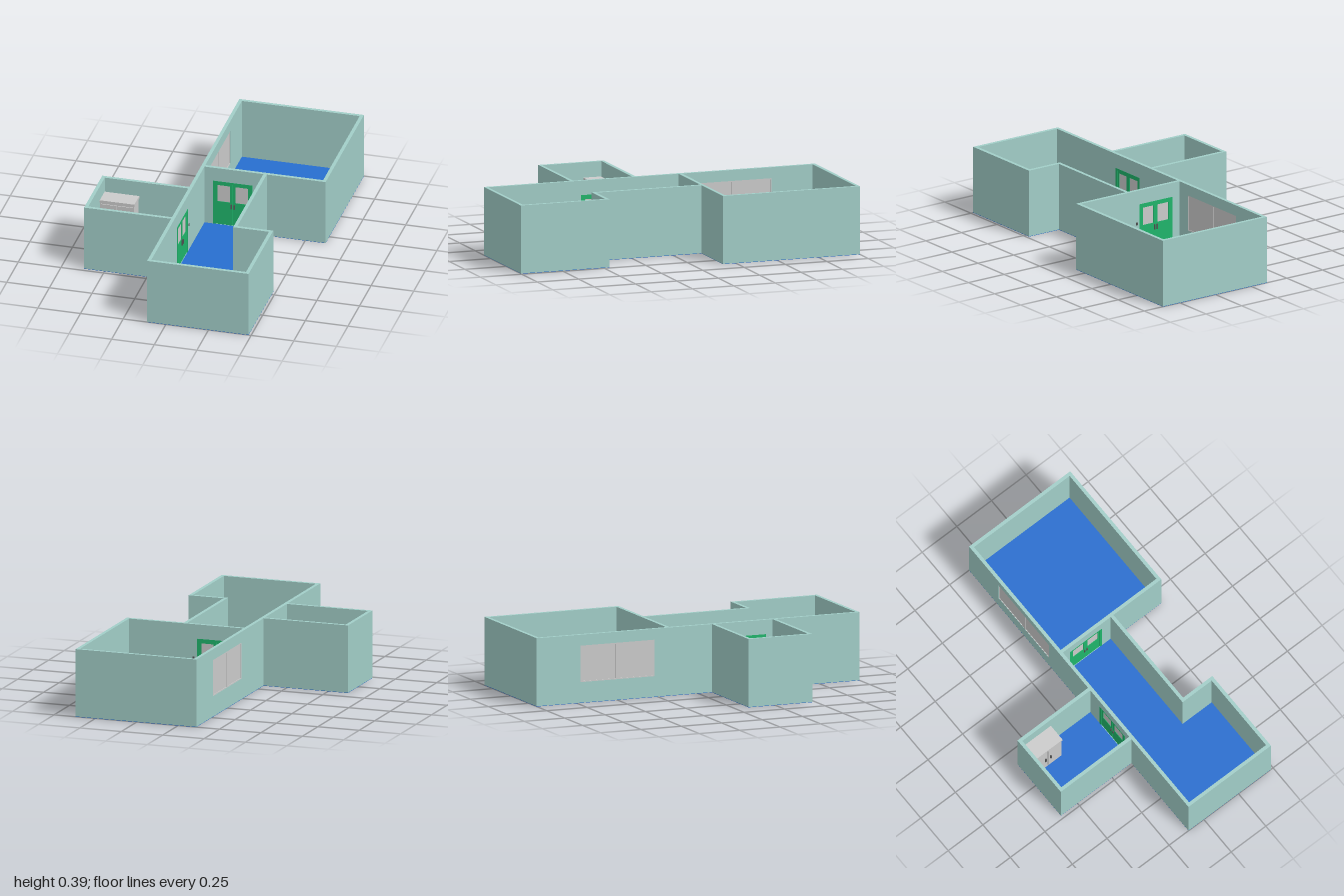
import * as THREE from 'three';

const H = 0.393, T = 0.02, FLOOR = 0.035, BASE = 0.002;
const mat = (color) => new THREE.MeshStandardMaterial({ color });
const wallMat = mat(0xa2cec8), blue = mat(0x276ecf), green = mat(0x1fb56b), grey = mat(0xcccccc);
const dark = mat(0x555555);

// Box given by its lower and upper corners
function box(parent, name, material, [x0, y0, z0], [x1, y1, z1]) {
  const mesh = new THREE.Mesh(new THREE.BoxGeometry(x1 - x0, y1 - y0, z1 - z0), material);
  mesh.position.set((x0 + x1) / 2, (y0 + y1) / 2, (z0 + z1) / 2);
  mesh.name = name;
  parent.add(mesh);
  return mesh;
}

function rectPoints(u0, y0, u1, y1) {
  return [[u0, y0], [u1, y0], [u1, y1], [u0, y1]].map(([x, y]) => new THREE.Vector2(x, y));
}

// Upright wall along local x with rectangular openings cut through it
function openWall(name, u0, u1, openings) {
  const wall = new THREE.Group();
  wall.name = name;
  const shape = new THREE.Shape(rectPoints(u0, BASE, u1, H));
  for (const o of openings) shape.holes.push(new THREE.Path(rectPoints(...o)));
  const geo = new THREE.ExtrudeGeometry(shape, { depth: T, bevelEnabled: false });
  geo.translate(0, 0, -T / 2);
  const mesh = new THREE.Mesh(geo, wallMat);
  mesh.name = name + 'Panel';
  wall.add(mesh);
  return wall;
}

// Double door with glazed upper halves, filling an opening of a wall
function doubleDoor([u0, y0, u1, y1], switchSide) {
  const door = new THREE.Group();
  door.name = 'doubleDoor';
  const j = 0.012, mid = (u0 + u1) / 2, d = T / 2 + 0.001;
  box(door, 'doorJamb', green, [u0, y0, -d], [u0 + j, y1, d]);
  box(door, 'doorJamb', green, [u1 - j, y0, -d], [u1, y1, d]);
  box(door, 'doorHead', green, [u0 + j, y1 - j, -d], [u1 - j, y1, d]);
  for (const [a, b] of [[u0 + j, mid - 0.001], [mid + 0.001, u1 - j]]) {
    const s = 0.014, paneY = y0 + 0.145, t = 0.007;
    box(door, 'doorLowerPanel', green, [a, y0, -t], [b, paneY, t]);
    box(door, 'doorStile', green, [a, paneY, -t], [a + s, y1 - j, t]);
    box(door, 'doorStile', green, [b - s, paneY, -t], [b, y1 - j, t]);
    box(door, 'doorTopRail', green, [a + s, y1 - j - s, -t], [b - s, y1 - j, t]);
    box(door, 'doorGlass', grey, [a + s, paneY, -0.004], [b - s, y1 - j - s, 0.004]);
  }
  for (const side of [-1, 1]) {
    for (const u of [mid - 0.009, mid + 0.009]) {
      const z = [side * 0.007, side * 0.014].sort((a, b) => a - b);
      box(door, 'doorHandle', dark, [u - 0.003, y0 + 0.105, z[0]], [u + 0.003, y0 + 0.135, z[1]]);
    }
  }
  const su = switchSide > 0 ? u1 + 0.02 : u0 - 0.02;
  box(door, 'wallSwitch', dark, [su - 0.005, 0.19, -0.014], [su + 0.005, 0.205, -0.01]);
  return door;
}

// Pair of panes with a thin frame and a mullion
function windowPair([u0, y0, u1, y1]) {
  const win = new THREE.Group();
  win.name = 'window';
  const f = 0.006, mid = (u0 + u1) / 2, d = 0.009;
  for (const [a, b] of [[u0, u0 + f], [mid - 0.012, mid + 0.012], [u1 - f, u1]])
    box(win, 'windowUpright', grey, [a, y0, -d], [b, y1, d]);
  for (const [a, b] of [[y0, y0 + f], [y1 - f, y1]])
    box(win, 'windowRail', grey, [u0, a, -d], [u1, b, d]);
  for (const [a, b] of [[u0 + f, mid - 0.012], [mid + 0.012, u1 - f]])
    box(win, 'windowPane', grey, [a, y0 + f, -0.006], [b, y1 - f, 0.006]);
  return win;
}

// Flat-lying slab from a plan outline in x, z
function slab(name, outline, y0, y1) {
  const shape = new THREE.Shape(outline.map(([x, z]) => new THREE.Vector2(x, -z)));
  const geo = new THREE.ExtrudeGeometry(shape, { depth: y1 - y0, bevelEnabled: false });
  geo.rotateX(-Math.PI / 2).translate(0, y0, 0);
  const mesh = new THREE.Mesh(geo, blue);
  mesh.name = name;
  return mesh;
}

function cabinet() {
  const g = new THREE.Group();
  g.name = 'cabinet';
  box(g, 'cabinetBody', grey, [-0.6, FLOOR, 0.11], [-0.4, 0.29, 0.207]);
  box(g, 'cabinetTop', grey, [-0.603, 0.29, 0.108], [-0.397, 0.305, 0.215]);
  for (const s of [-1, 1]) {
    const xs = [-0.5 + s * 0.002, -0.5 + s * 0.094].sort((a, b) => a - b);
    box(g, 'cabinetDoor', grey, [xs[0], 0.05, 0.207], [xs[1], 0.28, 0.212]);
    const hx = -0.5 + s * 0.018;
    box(g, 'cabinetHandle', dark, [hx - 0.004, 0.15, 0.212], [hx + 0.004, 0.19, 0.219]);
  }
  return g;
}

export function createModel() {
  const model = new THREE.Group();
  model.name = 'floorPlan';

  // Base under the whole plan, and the raised floors inside the walls
  model.add(slab('base', [
    [-0.11, -1], [0.62, -1], [0.62, -0.17], [0.275, -0.17], [0.275, 0.465], [0.485, 0.465], [0.485, 1],
    [-0.11, 1], [-0.11, 0.48], [-0.62, 0.48], [-0.62, 0.085], [-0.11, 0.085],
  ], 0, BASE));
  model.add(slab('largeRoomFloor', [[-0.09, -0.98], [0.6, -0.98], [0.6, -0.19], [-0.09, -0.19]], BASE, FLOOR));
  model.add(slab('sideRoomFloor', [[-0.6, 0.105], [-0.11, 0.105], [-0.11, 0.46], [-0.6, 0.46]], BASE, FLOOR));
  model.add(slab('hallFloor', [
    [-0.09, -0.17], [0.255, -0.17], [0.255, 0.485], [0.465, 0.485], [0.465, 0.98], [-0.09, 0.98],
  ], BASE, FLOOR));

  // Plain walls: name, x from/to, z from/to
  const plain = [
    ['largeRoomBackWall', -0.09, 0.62, -1, -0.98],
    ['largeRoomLeftWall', 0.6, 0.62, -0.98, -0.19],
    ['hallLeftWall', 0.255, 0.275, -0.17, 0.485],
    ['frontRoomBackWall', 0.275, 0.485, 0.465, 0.485],
    ['frontRoomLeftWall', 0.465, 0.485, 0.485, 0.98],
    ['frontWall', -0.09, 0.485, 0.98, 1],
    ['sideRoomBackWall', -0.62, -0.11, 0.085, 0.105],
    ['sideRoomFrontWall', -0.62, -0.11, 0.46, 0.48],
    ['sideRoomRightWall', -0.62, -0.6, 0.105, 0.46],
  ];
  for (const [name, x0, x1, z0, z1] of plain) box(model, name, wallMat, [x0, BASE, z0], [x1, H, z1]);

  // Long right wall with a window pair and a door to the side room
  const sideDoor = [0.19, FLOOR, 0.42, 0.31], win = [-0.73, 0.12, -0.27, 0.33];
  const longWall = openWall('longRightWall', -1, 1, [sideDoor, win]);
  longWall.add(doubleDoor(sideDoor, -1), windowPair(win));
  longWall.rotation.y = -Math.PI / 2;
  longWall.position.x = -0.1;
  model.add(longWall);

  // Dividing wall with a door between the hall and the large room
  const hallDoor = [-0.04, FLOOR, 0.19, 0.31];
  const divider = openWall('dividingWall', -0.09, 0.62, [hallDoor]);
  divider.add(doubleDoor(hallDoor, 1));
  divider.position.z = -0.18;
  model.add(divider);

  model.add(cabinet());
  return model;
}
